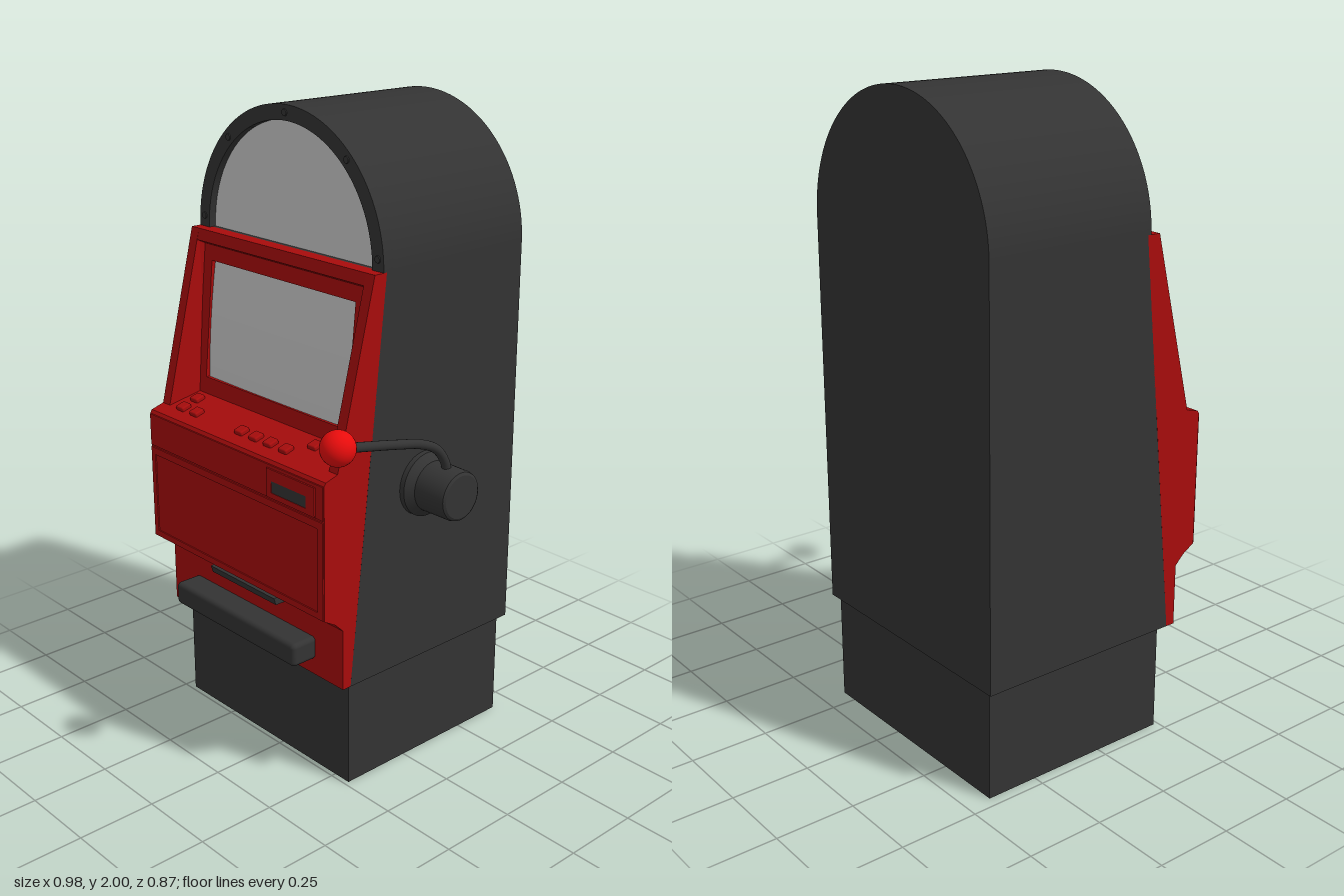
import * as THREE from 'three';
import { toCreasedNormals } from 'three/addons/utils/BufferGeometryUtils.js';
import { RoundedBoxGeometry } from 'three/addons/geometries/RoundedBoxGeometry.js';

const CX = -0.078, HALF = 0.412, X0 = CX - HALF, X1 = CX + HALF, ARCH_Y = 1.588;

const mat = (color, extra = {}) => new THREE.MeshStandardMaterial({ color, ...extra });

export function createModel() {
  const model = new THREE.Group();
  model.name = 'leverMachine';
  const dark = mat(0x333333), red = mat(0xa80c0c), bright = mat(0xe80c0c);
  const grey = mat(0xcccccc, { side: THREE.DoubleSide });

  const add = (name, geo, material, x = 0, y = 0, z = 0, parent = model) => {
    const mesh = new THREE.Mesh(geo, material);
    mesh.name = name;
    mesh.position.set(x, y, z);
    parent.add(mesh);
    return mesh;
  };
  const box = (x0, x1, y0, y1, z0, z1) =>
    new THREE.BoxGeometry(x1 - x0, y1 - y0, z1 - z0)
      .translate((x0 + x1) / 2, (y0 + y1) / 2, (z0 + z1) / 2);

  // Side profile given as [z, y] points, extruded across x
  const across = (points, x0, x1) => {
    const shape = new THREE.Shape(points.map(p => new THREE.Vector2(p[0], p[1])));
    return new THREE.ExtrudeGeometry(shape, { depth: x1 - x0, bevelEnabled: false })
      .rotateY(-Math.PI / 2).translate(x1, 0, 0);
  };
  // Rectangle outline, optionally with a rectangular hole
  const rect = (Type, x0, x1, y0, y1) => new Type()
    .moveTo(x0, y0).lineTo(x1, y0).lineTo(x1, y1).lineTo(x0, y1).closePath();
  const frame = (outer, inner, depth) => {
    const shape = rect(THREE.Shape, ...outer);
    shape.holes.push(rect(THREE.Path, ...inner));
    return new THREE.ExtrudeGeometry(shape, { depth, bevelEnabled: false });
  };

  // Pedestal and slanted cabinet
  add('pedestal', box(-0.465, 0.31, 0, 0.355, -0.42, 0.235), dark);
  add('cabinet', across([[-0.435, 0.35], [0.25, 0.35], [0.12, ARCH_Y], [-0.435, ARCH_Y]], X0, X1), dark);

  // Arched top: body, front rim, glass and rim bolts
  const half = new THREE.Shape().absarc(0, 0, HALF, 0, Math.PI, false).closePath();
  const arch = new THREE.ExtrudeGeometry(half, { depth: 0.53, bevelEnabled: false, curveSegments: 48 });
  add('archedTop', toCreasedNormals(arch, 0.5), dark, CX, ARCH_Y, -0.435);
  const rim = new THREE.Shape().absarc(0, 0, HALF, 0, Math.PI, false);
  rim.absarc(0, 0, 0.366, Math.PI, 0, true);
  const rimGeo = new THREE.ExtrudeGeometry(rim, { depth: 0.037, bevelEnabled: false, curveSegments: 48 });
  add('archRim', toCreasedNormals(rimGeo, 0.5), dark, CX, ARCH_Y, 0.095);
  add('archGlass', new THREE.CircleGeometry(0.368, 48, 0, Math.PI), grey, CX, ARCH_Y, 0.108);
  for (const deg of [5, 48, 90, 132, 175]) {
    const a = THREE.MathUtils.degToRad(deg);
    add('rimBolt', new THREE.CylinderGeometry(0.01, 0.012, 0.006, 16).rotateX(Math.PI / 2), dark,
      CX + 0.389 * Math.cos(a), ARCH_Y + 0.389 * Math.sin(a), 0.132);
  }

  // Lower front with projecting belly and sloping button deck
  add('frontBody', across([
    [0.25, 0.35], [0.28, 0.35], [0.28, 0.545], [0.31, 0.575], [0.352, 0.6],
    [0.352, 1.02], [0.346, 1.029], [0.174, 1.078],
  ], X0, X1), red);
  add('doorFrame', frame([-0.487, 0.331, 0.602, 0.908], [-0.468, 0.308, 0.622, 0.885], 0.005), red, 0, 0, 0.351);
  add('consoleBand', box(-0.487, 0.331, 0.915, 1.018, 0.35, 0.356), red);

  // Screen cheeks, whose inner walls widen towards the back
  const cheek = [[0.12, ARCH_Y], [0.165, ARCH_Y], [0.302, 1.041], [0.172, 1.07]];
  for (const side of [-1, 1]) {
    const outer = CX + side * HALF, inner = outer - side * 0.036;
    const geo = across(cheek, Math.min(outer, inner), Math.max(outer, inner));
    const p = geo.attributes.position;
    for (let i = 0; i < p.count; i++) {
      const onBack = p.getZ(i) < 0.125 || (p.getZ(i) < 0.2 && p.getY(i) < 1.2);
      if (onBack && Math.abs(p.getX(i) - inner) < 1e-4) p.setX(i, inner - side * 0.025);
    }
    geo.computeVertexNormals();
    add(side < 0 ? 'rightCheek' : 'leftCheek', geo, red);
  }
  add('screenHeader', across([[0.12, ARCH_Y], [0.165, ARCH_Y], [0.173, 1.553], [0.125, 1.528]], X0 + 0.005, X1 - 0.005), red);

  // Tilted screen: bezel and bulging glass
  const screen = new THREE.Group();
  screen.name = 'screen';
  screen.position.set(0, 1.07, 0.18);
  screen.rotation.x = -Math.atan2(0.045, 0.46);
  model.add(screen);
  add('screenBezel', frame([-0.46, 0.305, -0.005, 0.475], [-0.405, 0.247, 0.053, 0.424], 0.017), red, 0, 0, 0, screen);
  const glass = new THREE.PlaneGeometry(0.66, 0.38, 24, 16);
  const gp = glass.attributes.position;
  for (let i = 0; i < gp.count; i++) {
    const u = gp.getX(i) / 0.33, v = gp.getY(i) / 0.19;
    gp.setZ(i, 0.012 * (1 - (u * u + v * v) / 2));
  }
  glass.computeVertexNormals();
  add('screenGlass', glass, grey, -0.079, 0.2385, 0.003, screen);

  // Push buttons in two rows following the deck slope
  const rows = { 0.235: [-0.395, 0.165, 0.235], 0.29: [-0.395, -0.327, -0.105, -0.037, 0.03, 0.1] };
  for (const [z, xs] of Object.entries(rows)) for (const x of xs) {
    const button = add('pushButton', new RoundedBoxGeometry(0.036, 0.026, 0.036, 2, 0.005), red,
      x, 1.045 + (0.29 - z) * 0.285, +z);
    button.rotation.x = 0.277;
  }

  // Note slot on the console
  add('noteSlotFrame', frame([0.092, 0.302, 0.918, 1.008], [0.113, 0.265, 0.935, 0.972], 0.006), red, 0, 0, 0.355);
  add('noteSlot', box(0.113, 0.265, 0.935, 0.972, 0.35, 0.3595), dark);

  // Payout slot and tray with rounded end brackets
  add('payoutSlot', across([[0.27, 0.545], [0.318, 0.545], [0.325, 0.568], [0.29, 0.573]], -0.235, 0.075), dark);
  const bracket = new THREE.Shape().moveTo(0.27, 0.4).lineTo(0.325, 0.405)
    .quadraticCurveTo(0.378, 0.412, 0.38, 0.455).lineTo(0.38, 0.498).lineTo(0.27, 0.498).closePath();
  for (const side of [-1, 1]) {
    const geo = across(bracket.getPoints(8), -0.028, 0.028);
    // Pull the outer front corner in for a rounded end
    const p = geo.attributes.position;
    for (let i = 0; i < p.count; i++)
      if (p.getX(i) * side > 0 && p.getZ(i) > 0.3) {
        p.setX(i, p.getX(i) - side * 0.35 * (p.getZ(i) - 0.3));
        p.setZ(i, p.getZ(i) - 0.012);
      }
    add(side < 0 ? 'rightTrayBracket' : 'leftTrayBracket', toCreasedNormals(geo, 0.7), red, CX + side * 0.305);
  }
  add('trayBar', new RoundedBoxGeometry(0.58, 0.075, 0.095, 3, 0.015), dark, CX, 0.44, 0.32);

  // Pull lever: turned hub, bent arm and ball knob
  const hub = [[0, 0], [0.1, 0], [0.1, 0.018], [0.078, 0.04], [0.077, 0.14], [0.074, 0.15], [0.066, 0.155], [0, 0.155]]
    .map(p => new THREE.Vector2(...p));
  const hubGeo = new THREE.LatheGeometry(hub, 40).rotateZ(-Math.PI / 2);
  add('leverHub', toCreasedNormals(hubGeo, 0.5), dark, 0.333, 0.925, -0.042);
  const path = new THREE.CatmullRomCurve3([
    [-0.042, 0.96], [-0.033, 1.015], [0.005, 1.068], [0.07, 1.1], [0.16, 1.122], [0.385, 1.168],
  ].map(([z, y]) => new THREE.Vector3(0.428, y, z)));
  add('leverArm', new THREE.TubeGeometry(path, 40, 0.014, 16), dark);
  add('leverKnob', new THREE.SphereGeometry(0.051, 32, 24), bright, 0.428, 1.169, 0.386);

  return model;
}
